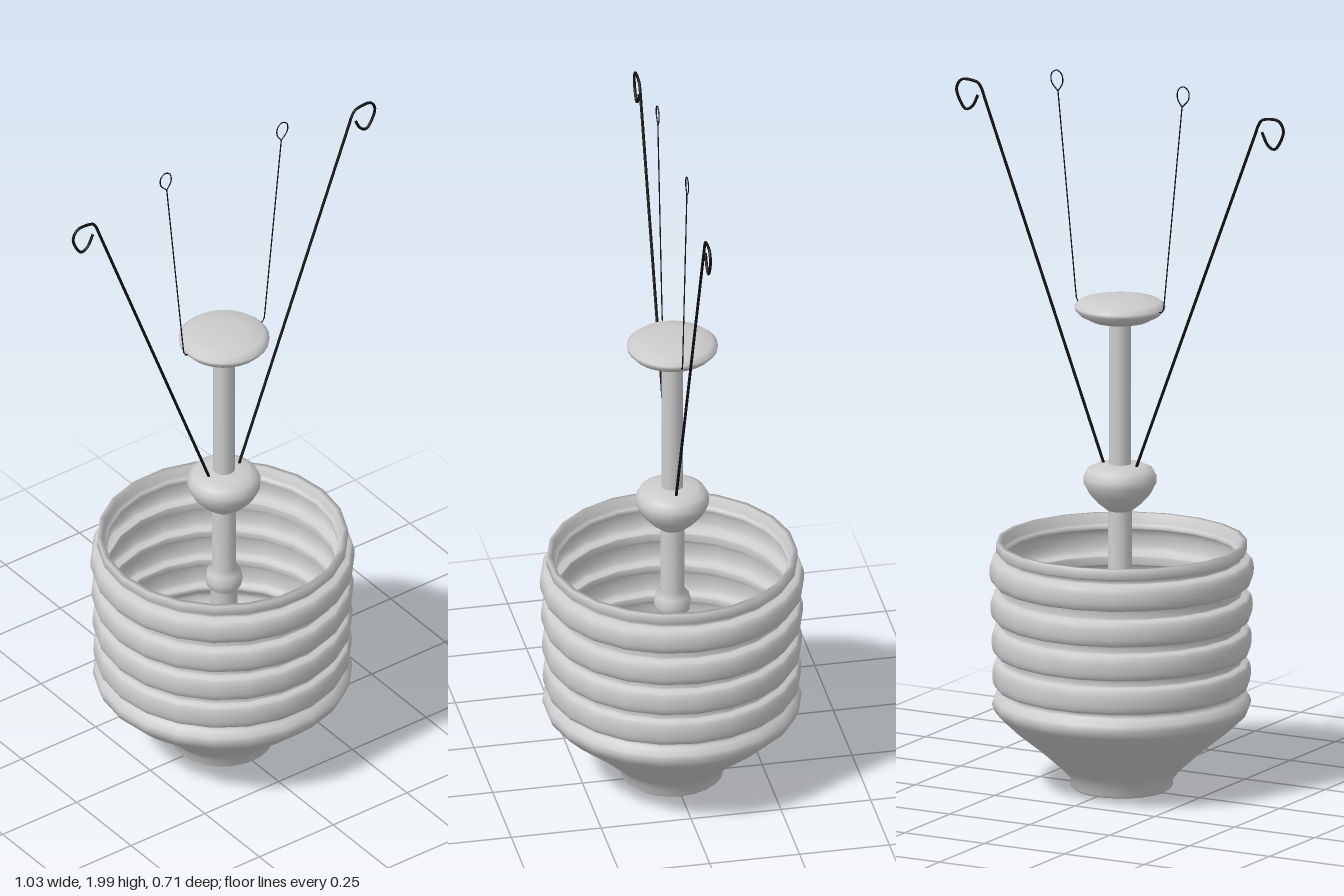
import * as THREE from 'three';

const grey = new THREE.MeshStandardMaterial({ color: 0xcccccc });
const shellMat = new THREE.MeshStandardMaterial({ color: 0xcccccc, side: THREE.DoubleSide });
const black = new THREE.MeshStandardMaterial({ color: 0x111111 });
const v2 = ([x, y]) => new THREE.Vector2(x, y);

// Revolve a bottom-to-top profile, with a corner of the ring on +x
function lathe(name, profile, sides, material = grey) {
  const mesh = new THREE.Mesh(new THREE.LatheGeometry(profile.map(v2), sides, Math.PI / 2), material);
  mesh.name = name;
  return mesh;
}

// Thin tube along points in the z = 0 plane
function wire(name, points, radius, steps, tension) {
  const path = new THREE.CatmullRomCurve3(
    points.map(([x, y]) => new THREE.Vector3(x, y, 0)), false, 'catmullrom', tension);
  const mesh = new THREE.Mesh(new THREE.TubeGeometry(path, steps, radius, 6), black);
  mesh.name = name;
  return mesh;
}

// Outer wall: foot, flared bowl, then rounded rings separated by flat grooves
function wallProfile() {
  const p = [[0.13, 0.012], [0.14, 0.02], [0.14, 0.04], [0.165, 0.07], [0.22, 0.12], [0.3, 0.185],
    [0.345, 0.228], [0.354, 0.25], [0.35, 0.265], [0.338, 0.28], [0.329, 0.283]];
  const rings = [[0.333, 0.353], [0.427, 0.355], [0.522, 0.358], [0.622, 0.361]];
  for (const [y, r] of rings) {
    p.push([0.329, y - 0.04]);
    for (let i = 0; i <= 8; i++) {
      const a = Math.PI * (i / 8 - 0.5);
      p.push([0.332 + (r - 0.332) * Math.sqrt(Math.cos(a) + 1e-9), y + 0.037 * Math.sin(a)]);
    }
    p.push([0.329, y + 0.04]);
  }
  p.push([0.331, 0.672], [0.342, 0.675], [0.342, 0.703]);
  return p;
}

export function createModel() {
  const model = new THREE.Group();

  // Ribbed socket: outer wall, rim and inner wall in one shell
  const outer = wallProfile();
  const inner = outer.slice(2).reverse().map(([r, y]) => [r - 0.014, y]);
  const socket = lathe('socket', [[0, 0.012], ...outer, ...inner, [0, 0.04]], 22, shellMat);
  socket.position.x = -0.005;
  model.add(socket);

  // Central stem with a small collar inside the socket
  const stem = lathe('stem', [[0.09, 0.03], [0.06, 0.2], [0.04, 0.4], [0.036, 0.52], [0.047, 0.535],
    [0.051, 0.555], [0.046, 0.58], [0.033, 0.595], [0.033, 0.8], [0.03, 0.92], [0.03, 1.33]], 16);
  model.add(stem);

  // Lower knob that holds the outer wires
  model.add(lathe('knob', [[0, 0.79], [0.035, 0.79], [0.06, 0.81], [0.085, 0.838], [0.099, 0.865],
    [0.1, 0.885], [0.09, 0.904], [0.07, 0.914], [0.035, 0.919], [0, 0.92]], 24));

  // Lens-shaped cap
  model.add(lathe('cap', [[0, 1.308], [0.032, 1.31], [0.08, 1.322], [0.11, 1.338], [0.123, 1.352],
    [0.124, 1.362], [0.11, 1.374], [0.07, 1.382], [0.03, 1.385], [0, 1.385]], 28));

  for (const s of [1, -1]) {
    const side = s > 0 ? 'left' : 'right';
    const at = ([x, y]) => [s * x, y];

    // Thick support wire with a curled hook
    model.add(wire(side + 'SupportWire', [[0.04, 0.885], [0.055, 0.925], [0.425, 1.897]].map(at), 0.004, 24, 0));
    model.add(wire(side + 'Hook', [[0.425, 1.897], [0.434, 1.92], [0.45, 1.936], [0.495, 1.937],
      [0.511, 1.905], [0.487, 1.858], [0.462, 1.866], [0.444, 1.9]].map(at), 0.004, 40, 0.5));

    // Fine wire from the cap edge, ending in a small eye
    model.add(wire(side + 'FineWire', [[0.115, 1.357], [0.135, 1.357], [0.14, 1.4], [0.194, 1.94]].map(at), 0.0017, 40, 0));
    model.add(wire(side + 'Eye', [[0.194, 1.94], [0.18, 1.963], [0.182, 1.987], [0.198, 1.998],
      [0.214, 1.987], [0.214, 1.963], [0.194, 1.94]].map(at), 0.0017, 32, 0.5));
  }
  return model;
}
